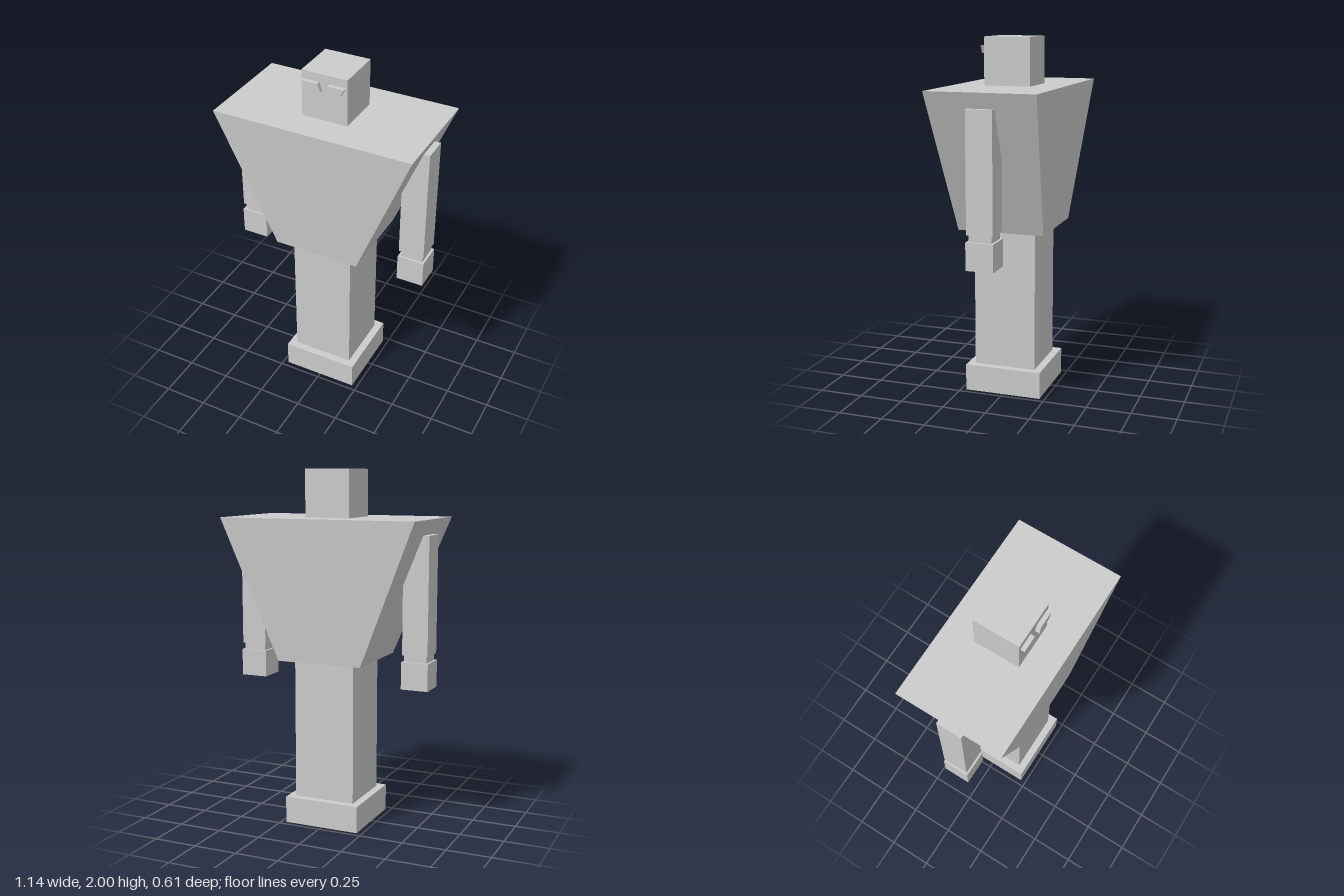
import * as THREE from 'three';

const material = new THREE.MeshStandardMaterial({ color: 0xcccccc, flatShading: true });

function addMesh(parent, name, geometry) {
  const mesh = new THREE.Mesh(geometry, material);
  mesh.name = name;
  parent.add(mesh);
  return mesh;
}

// Box between two heights, with its own half width and half depth at bottom and top
function block(y0, y1, [bx, bz], [tx, tz] = [bx, bz], cx = 0) {
  const geometry = new THREE.BoxGeometry(2, y1 - y0, 2);
  const p = geometry.attributes.position;
  for (let i = 0; i < p.count; i++) {
    const top = p.getY(i) > 0;
    p.setXYZ(i, cx + p.getX(i) * (top ? tx : bx), top ? y1 : y0, p.getZ(i) * (top ? tz : bz));
  }
  geometry.computeVertexNormals();
  return geometry;
}

// Slanted eye plate, drawn for the given side (+1 left, -1 right)
function eye(side) {
  const corners = [[0.012, 1.91], [0.1, 1.91], [0.122, 1.953], [0.028, 1.953]];
  const shape = new THREE.Shape(corners.map(([x, y]) => new THREE.Vector2(side * x, y)));
  return new THREE.ExtrudeGeometry(shape, { depth: 0.025, bevelEnabled: false }).translate(0, 0, 0.13);
}

export function createModel() {
  const model = new THREE.Group();
  model.name = 'blockRobot';

  // Column body
  addMesh(model, 'base', block(0, 0.152, [0.22, 0.22]));
  addMesh(model, 'legs', block(0.152, 0.947, [0.177, 0.177]));
  addMesh(model, 'torso', block(0.947, 1.737, [0.246, 0.246], [0.568, 0.306]));
  addMesh(model, 'head', block(1.737, 2, [0.131, 0.131]));

  // Mirrored eyes and arms
  for (const side of [1, -1]) {
    const label = side > 0 ? 'left' : 'right';
    addMesh(model, label + 'Eye', eye(side));

    const arm = new THREE.Group();
    arm.name = label + 'Arm';
    const cx = side * 0.495;
    addMesh(arm, 'sleeve', block(1, 1.652, [0.073, 0.073], undefined, cx));
    addMesh(arm, 'wrist', block(0.962, 1, [0.064, 0.064], undefined, cx));
    addMesh(arm, 'hand', block(0.81, 0.962, [0.077, 0.077], undefined, cx));
    model.add(arm);
  }
  return model;
}
